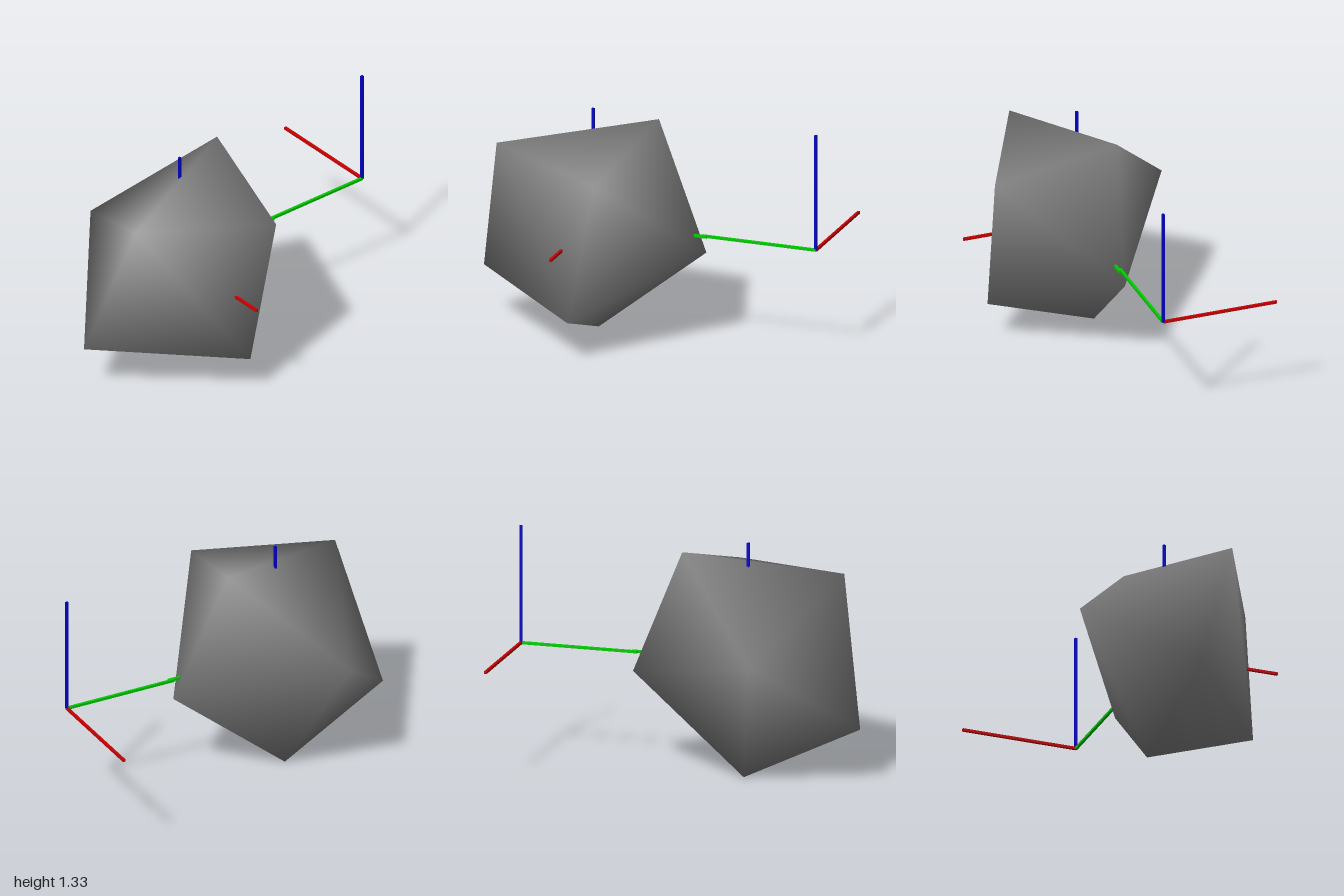
import * as THREE from 'three';
import { ConvexGeometry } from 'three/addons/geometries/ConvexGeometry.js';
import { mergeVertices } from 'three/addons/utils/BufferGeometryUtils.js';

const material = (name, color) => {
  const m = new THREE.MeshStandardMaterial({ color });
  m.name = name;
  return m;
};

// Three thin rods meeting at one origin: x red, y blue, back green
function makeAxes(name, mats) {
  const axes = new THREE.Group();
  axes.name = name;
  const length = 0.68, t = 0.015;
  const rods = [
    ['redRod', mats.red, [1, 0, 0]],
    ['blueRod', mats.blue, [0, 1, 0]],
    ['greenRod', mats.green, [0, 0, -1]],
  ];
  for (const [rodName, mat, dir] of rods) {
    const size = dir.map((d) => (d ? length : t));
    const rod = new THREE.Mesh(new THREE.BoxGeometry(...size), mat);
    rod.name = rodName;
    rod.position.set(...dir).multiplyScalar(length / 2);
    axes.add(rod);
  }
  return axes;
}

export function createModel() {
  const model = new THREE.Group();
  model.name = 'stoneWithAxes';
  const mats = {
    red: material('red', 0xcc0000),
    green: material('green', 0x00cc00),
    blue: material('blue', 0x0000cc),
  };

  // Faceted stone: convex hull of eight corners, smooth shaded
  const corners = [
    [-0.1, 1.275, -0.02], [-0.57, 0.765, 0.51], [0.58, 1.08, 0.11], [0.56, 0.245, 0.28],
    [-0.1, 0, 0.34], [0.22, 1.135, 0.83], [-0.03, 0.545, -0.33], [-0.03, 0.31, 1],
  ].map((p) => new THREE.Vector3(...p));
  let hull = new ConvexGeometry(corners);
  hull.deleteAttribute('normal');
  hull = mergeVertices(hull);
  hull.computeVertexNormals();
  const stone = new THREE.Mesh(hull, material('grey', 0x808080));
  stone.name = 'stone';
  model.add(stone);

  // One set of axes inside the stone, one behind it turned half round
  const inner = makeAxes('innerAxes', mats);
  inner.position.set(0.004, 0.65, 0.335);
  const outer = makeAxes('outerAxes', mats);
  outer.position.set(-0.007, 0.65, -0.993);
  outer.rotation.y = Math.PI;
  model.add(inner, outer);

  return model;
}
